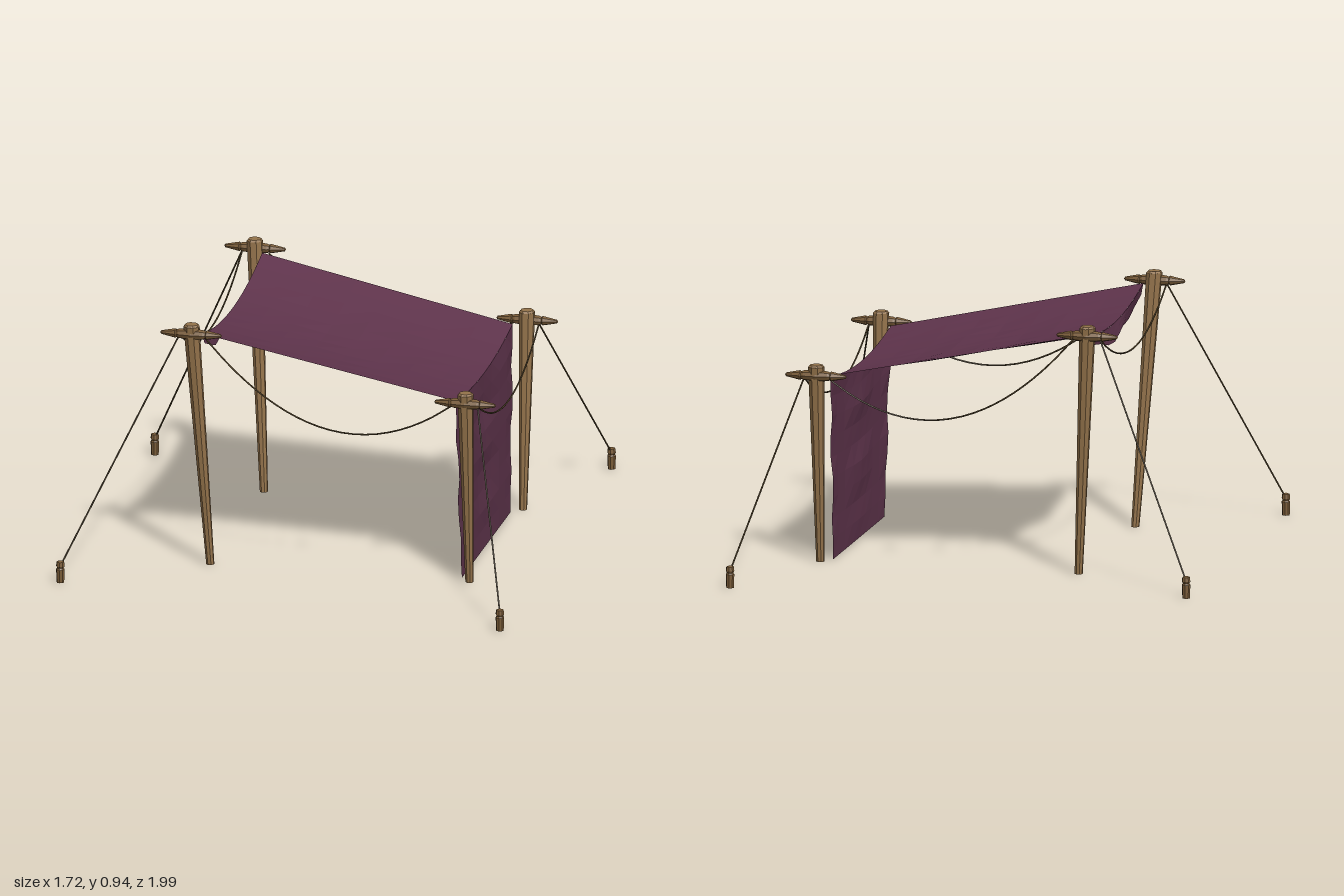
import * as THREE from 'three';

const V = (x, y, z) => new THREE.Vector3(x, y, z);

export function createModel() {
  const group = new THREE.Group();
  group.name = 'clothAwning';

  const flat = { flatShading: true };
  const wood = new THREE.MeshStandardMaterial({ color: 0x94734b, ...flat });
  wood.name = 'post wood';
  const darkWood = new THREE.MeshStandardMaterial({ color: 0x7a5c38, ...flat });
  darkWood.name = 'peg wood';
  const rope = new THREE.MeshStandardMaterial({ color: 0x54452b });
  rope.name = 'rope';
  const cloth = new THREE.MeshStandardMaterial({ color: 0x5f344c, side: THREE.DoubleSide, ...flat });
  cloth.name = 'plum cloth';

  const add = (name, geometry, material) => {
    const mesh = new THREE.Mesh(geometry, material);
    mesh.name = name;
    group.add(mesh);
    return mesh;
  };

  // Tapered post whose ends stay level while it leans from a to b
  const leaningPost = (a, b, rBottom, rTop) => {
    const h = b.y - a.y;
    const g = new THREE.CylinderGeometry(rTop, rBottom, h, 8, 3);
    g.rotateY(Math.PI / 8);
    g.translate(0, h / 2, 0);
    const p = g.attributes.position;
    for (let i = 0; i < p.count; i++) {
      const t = p.getY(i) / h;
      p.setXYZ(i, p.getX(i) + THREE.MathUtils.lerp(a.x, b.x, t), p.getY(i) + a.y,
        p.getZ(i) + THREE.MathUtils.lerp(a.z, b.z, t));
    }
    g.computeVertexNormals();
    return g;
  };

  // Rope hanging between two points, with a parabolic sag
  const hangingRope = (name, a, b, sag) => {
    const points = [];
    for (let i = 0; i <= 12; i++) {
      const t = i / 12;
      const p = a.clone().lerp(b, t);
      p.y -= 4 * sag * t * (1 - t);
      points.push(p);
    }
    add(name, new THREE.TubeGeometry(new THREE.CatmullRomCurve3(points), 24, 0.0032, 5), rope);
  };

  // Cloth panel from a function of (u, v)
  const panel = (name, nu, nv, f) => {
    const pos = [], index = [];
    for (let j = 0; j <= nv; j++)
      for (let i = 0; i <= nu; i++) pos.push(...f(i / nu, j / nv));
    for (let j = 0; j < nv; j++)
      for (let i = 0; i < nu; i++) {
        const a = j * (nu + 1) + i, b = a + 1, c = a + nu + 1, d = c + 1;
        index.push(a, c, b, b, c, d);
      }
    const g = new THREE.BufferGeometry();
    g.setAttribute('position', new THREE.Float32BufferAttribute(pos, 3));
    g.setIndex(index);
    g.computeVertexNormals();
    add(name, g, cloth);
  };

  // Pointed peg through each post, stepped in the middle
  const pegProfile = [[0, -0.115], [0.007, -0.11], [0.018, -0.058], [0.014, -0.054], [0.018, -0.045],
    [0.022, 0], [0.018, 0.045], [0.014, 0.054], [0.018, 0.058], [0.007, 0.11], [0, 0.115]]
    .map(([r, y]) => new THREE.Vector2(r, y));
  const stakeProfile = [[0, 0], [0.014, 0], [0.016, 0.05], [0.012, 0.055], [0.016, 0.062], [0.014, 0.078], [0, 0.083]]
    .map(([r, y]) => new THREE.Vector2(r, y));

  const frames = [
    { label: 'high', baseX: -0.36, topX: -0.412, top: 0.935, pegY: 0.9, topZ: 0.52, ropeX: -0.458, stakes: { 1: [-0.843, 0.772], '-1': [-0.843, -0.78] } },
    { label: 'low', baseX: 0.605, topX: 0.605, top: 0.74, pegY: 0.702, topZ: 0.505, ropeX: 0.65, stakes: { 1: [0.84, 0.976], '-1': [0.812, -0.982] } },
  ];

  // Posts, pegs, stakes and guy ropes at the four corners
  for (const f of frames) {
    for (const s of [1, -1]) {
      const side = s > 0 ? 'Front' : 'Back';
      add(f.label + side + 'Post',
        leaningPost(V(f.baseX, 0, s * 0.44), V(f.topX, f.top - 0.006, s * f.topZ), 0.015, 0.03), wood);
      const cap = add(f.label + side + 'PostCap', new THREE.CylinderGeometry(0.024, 0.03, 0.008, 8), wood);
      cap.rotation.y = Math.PI / 8;
      cap.position.set(f.topX, f.top - 0.003, s * f.topZ);

      const peg = add(f.label + side + 'Peg', new THREE.LatheGeometry(pegProfile, 8), darkWood);
      peg.rotation.z = Math.PI / 2;
      peg.position.set(f.topX, f.pegY, s * (f.topZ + 0.006));

      const [sx, sz] = f.stakes[s];
      const stake = add(f.label + side + 'Stake', new THREE.LatheGeometry(stakeProfile, 8), darkWood);
      stake.position.set(sx, 0, sz);
      hangingRope(f.label + side + 'GuyRope', V(f.ropeX, f.pegY - 0.01, s * f.topZ), V(sx, 0.062, sz), 0);
    }
    // Rope slung between the two posts of the same height
    hangingRope(f.label + 'CrossRope', V(f.ropeX, f.pegY - 0.01, f.topZ), V(f.ropeX, f.pegY - 0.01, -f.topZ), 0.137);
  }

  // Ropes slung along the front and back
  for (const s of [1, -1])
    hangingRope(s > 0 ? 'frontRope' : 'backRope', V(-0.36, 0.885, s * 0.52), V(0.555, 0.69, s * 0.507), 0.22);

  // Height of the sagging roof cloth; u runs high to low, w is -1..1 across
  const roofY = (u, w) => {
    const edge = THREE.MathUtils.lerp(0.893, 0.695, u);
    const sag = THREE.MathUtils.lerp(0.058, 0.04, u);
    const crease = 0.005 * Math.sin(u * 13 + w * 4) * Math.sin(u * Math.PI) * (1 - w * w);
    return edge - sag * (1 - w * w) + crease;
  };
  const roofZ = (u) => THREE.MathUtils.lerp(0.492, 0.468, u);

  panel('roofCloth', 8, 10, (u, v) => {
    const w = 1 - v * 2;
    return [THREE.MathUtils.lerp(-0.378, 0.56, u), roofY(u, w), -w * roofZ(u)];
  });

  // Short ragged flap under the high edge
  panel('highEdgeFlap', 12, 2, (u, v) => {
    const w = u * 2 - 1;
    const drop = 0.052 + 0.012 * Math.sin(u * 17);
    return [-0.378 + 0.012 * v * Math.sin(u * 9), roofY(0, w) - drop * v, w * (0.492 - 0.015 * v)];
  });

  // Curtain hanging to the ground from the low edge
  panel('sideCurtain', 8, 9, (u, v) => {
    const w = u * 2 - 1;
    const y = roofY(1, w) * (1 - v);
    const ripple = 0.018 * Math.sin(v * Math.PI * 2.5) ** 2 * (1 - v) ** 0.3 * (0.5 + 0.5 * Math.cos(w * 5));
    return [0.56 + 0.008 * Math.min(1, v * 9) - ripple, y, w * THREE.MathUtils.lerp(0.468, 0.4, v)];
  });

  return group;
}
